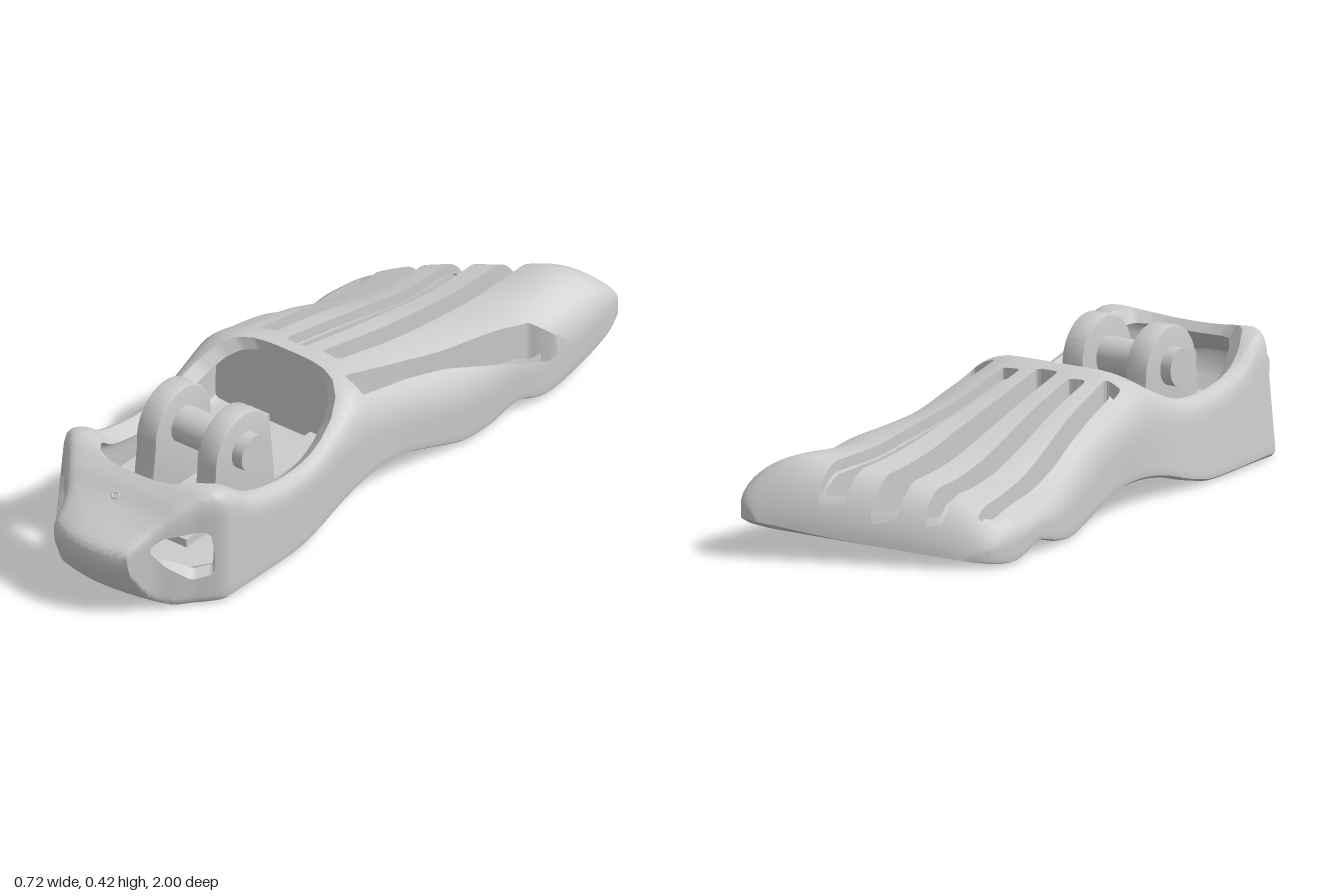
import * as THREE from 'three';
import { toCreasedNormals } from 'three/addons/utils/BufferGeometryUtils.js';

const grey = new THREE.MeshStandardMaterial({ color: 0xcccccc });
const shellGrey = new THREE.MeshStandardMaterial({ color: 0xcccccc, side: THREE.DoubleSide });
const smooth = (a, b, x) => THREE.MathUtils.smoothstep((x - a) / (b - a), 0, 1);

// Smooth curve through [s, value] points, s falling
function curve(pts) {
  const slope = (i) => {
    const a = pts[Math.max(i - 1, 0)], b = pts[Math.min(i + 1, pts.length - 1)];
    return (b[1] - a[1]) / (b[0] - a[0]);
  };
  return (s) => {
    let i = 0;
    while (i < pts.length - 2 && s < pts[i + 1][0]) i++;
    const [s0, v0] = pts[i], [s1, v1] = pts[i + 1], h = s1 - s0;
    const t = THREE.MathUtils.clamp((s - s0) / h, 0, 1), t2 = t * t, t3 = t2 * t;
    return (2 * t3 - 3 * t2 + 1) * v0 + (t3 - 2 * t2 + t) * h * slope(i) +
      (3 * t2 - 2 * t3) * v1 + (t3 - t2) * h * slope(i + 1);
  };
}

// Foot profiles along the length, heel to toe
const topY = curve([[1, 0.2], [0.995, 0.214], [0.97, 0.234], [0.9, 0.274], [0.85, 0.302], [0.8, 0.336], [0.74, 0.36],
  [0.68, 0.345], [0.6, 0.29], [0.5, 0.26], [0.4, 0.25], [0.3, 0.263], [0.2, 0.31], [0.1, 0.368], [0.06, 0.375],
  [-0.03, 0.357], [-0.2, 0.32], [-0.4, 0.28], [-0.55, 0.252], [-0.7, 0.238], [-0.89, 0.235]]);
const bottomY = curve([[1, 0.2], [0.997, 0.17], [0.985, 0.13], [0.93, 0.05], [0.87, 0.013], [0.82, 0], [0.6, 0], [0.4, 0],
  [0.3, 0.02], [0.2, 0.05], [0.1, 0.07], [0, 0.077], [-0.1, 0.065], [-0.2, 0.035], [-0.3, 0.005], [-0.34, 0],
  [-0.42, 0.01], [-0.5, 0.033], [-0.54, 0.035], [-0.6, 0.012], [-0.65, 0], [-0.75, 0.016], [-0.9, 0.062], [-1, 0.105]]);
const leftX = curve([[1, -0.148], [0.96, -0.162], [0.9, -0.183], [0.85, -0.21], [0.8, -0.25], [0.75, -0.3], [0.72, -0.322],
  [0.69, -0.325], [0.4, -0.325], [0, -0.325], [-0.2, -0.335], [-0.45, -0.35], [-0.7, -0.365], [-0.78, -0.362],
  [-0.84, -0.346], [-0.87, -0.322], [-0.89, -0.27]]);
const rightX = curve([[1, 0.128], [0.96, 0.142], [0.9, 0.163], [0.85, 0.19], [0.8, 0.225], [0.75, 0.27], [0.72, 0.288],
  [0.69, 0.291], [0.4, 0.291], [0, 0.287], [-0.2, 0.302], [-0.4, 0.335], [-0.6, 0.352], [-0.75, 0.356],
  [-0.82, 0.345], [-0.86, 0.325], [-0.89, 0.275]]);
const squareness = curve([[1, 16], [0.7, 11], [0.4, 9], [0.1, 3.6], [-0.1, 2.8], [-0.6, 2.25], [-0.89, 2.4]]);

// Point of the foot skin; (a, b) runs round a square, off moves it inwards
function skin(s, a, b, off) {
  const n = b > 0 ? squareness(s) : 18;
  const k = Math.pow(Math.abs(a) ** n + Math.abs(b) ** n, -1 / n);
  const l = leftX(s) + 1.4 * off, r = rightX(s) - 1.2 * off;
  let x = (l + r) / 2 + a * k * (r - l) / 2;
  const z = s - 0.41 * smooth(-0.1, -0.75, s) * x - 1.7 * smooth(0.82, 1, s) * x * x;
  const tilt = 1 + 0.7 * x * smooth(-0.15, -0.7, s);
  const bigToe = 0.03 * smooth(-0.5, -0.75, s) * Math.exp(-(((x - 0.23) / 0.11) ** 2));
  const heelDip = 0.014 * smooth(0.62, 0.72, s) * smooth(1, 0.85, s) * Math.max(0, 1 - (x / 0.25) ** 2);
  const base = bottomY(s < 0 ? z : s);
  const cap = (1 - Math.min(Math.max((-0.76 - s) / 0.13, 0), 1) ** 2) ** 0.65; // rounded toe end
  const top = base + (topY(s) * tilt + bigToe - heelDip - base) * cap;
  const lo = base + off, hi = Math.max(top - off, lo + 0.001 * (off > 0));
  const mid = lo + 0.33 * (hi - lo);
  const y = mid + b * k * (b > 0 ? hi - mid : mid - lo);
  if (x < 0) x += 0.1 * Math.max(y, 0) * -x / 0.32 * smooth(0, 0.3, s); // left wall leans in
  return [x, y, z];
}

// Signed distance to a polygon, grown and rounded by r
function polyDistance(poly, r, px, py) {
  let d = Infinity, inside = false;
  poly.forEach(([x1, y1], i) => {
    const [x2, y2] = poly[(i + 1) % poly.length], ex = x2 - x1, ey = y2 - y1;
    const t = THREE.MathUtils.clamp(((px - x1) * ex + (py - y1) * ey) / (ex * ex + ey * ey), 0, 1);
    d = Math.min(d, Math.hypot(px - x1 - t * ex, py - y1 - t * ey));
    if ((y1 > py) !== (y2 > py) && px < ex * (py - y1) / ey + x1) inside = !inside;
  });
  return (inside ? -d : d) - r;
}

// Openings in plan (x, z): ankle opening and four top slots
const ankle = [];
for (let i = 0; i < 40; i++) {
  const t = i / 40 * Math.PI * 2, c = Math.cos(t), q = Math.sin(t);
  const k = Math.pow(Math.abs(c) ** 3.6 + Math.abs(q) ** 3.6, -1 / 3.6);
  ankle.push([-0.007 + 0.247 * k * c, 0.417 + 0.345 * k * q]);
}
const slots = [
  [[-0.25, 0.03], [-0.215, 0.03], [-0.25, -0.3], [-0.285, -0.7], [-0.315, -0.66], [-0.292, -0.3]],
  [[-0.157, -0.01], [-0.127, -0.02], [-0.147, -0.4], [-0.163, -0.79], [-0.192, -0.77], [-0.183, -0.4]],
  [[-0.057, 0], [-0.008, 0], [-0.012, -0.4], [-0.028, -0.855], [-0.077, -0.825], [-0.067, -0.4]],
  [[0.058, -0.02], [0.097, -0.02], [0.113, -0.4], [0.117, -0.905], [0.063, -0.875], [0.067, -0.4]],
];
// Shoulder slot: right of a plan line (x, z) and within a side outline (z, y)
const shoulderPlan = [[0.182, 0.038], [0.5, 0.038], [0.5, -0.75], [0.325, -0.75], [0.3, -0.67], [0.255, -0.45], [0.208, -0.2]];
const shoulderSide = [[0.038, 0.5], [0.038, 0.325], [-0.3, 0.25], [-0.5, 0.19], [-0.6, 0.15], [-0.66, 0.124],
  [-0.735, 0.118], [-0.735, 0.13], [-0.68, 0.18], [-0.6, 0.25], [-0.5, 0.5]];
// Heel side window (z, y)
const heelWindow = [[0.885, 0.2], [0.86, 0.217], [0.775, 0.225], [0.766, 0.16], [0.768, 0.108], [0.797, 0.1], [0.845, 0.143]];

function solid([x, y, z], b) {
  let d = 0.03;
  if (b > 0) {
    d = Math.min(d, polyDistance(ankle, 0.01, x, z));
    for (const slot of slots) d = Math.min(d, polyDistance(slot, 0.01, x, z));
    d = Math.min(d, Math.max(polyDistance(shoulderPlan, 0.01, x, z), polyDistance(shoulderSide, 0.01, z, y)));
  }
  if (z > 0.7 && Math.abs(x) > 0.1) {
    const low = x < 0 ? 0.2 * (0.23 - y) : 0; // right-hand window reaches lower
    d = Math.min(d, polyDistance(heelWindow, 0.015, z, y + low));
  }
  return Math.max(d, -0.03);
}

// Hollow shell: grid of outer and inner points, clipped along the openings
function shellGeometry() {
  const around = [], rows = 190, grid = [], out = [];
  const side = (n, f) => { for (let i = 0; i < n; i++) around.push(f(-1 + 2 * i / n)); };
  side(72, (t) => [-t, 1]);
  side(18, (t) => [-1, -t]);
  side(16, (t) => [t, -1]);
  side(18, (t) => [1, t]);
  for (let j = 0; j <= rows; j++) {
    const t = -1 + 2 * j / rows, e = 0.945 * (0.35 * t + 0.65 * Math.sin(t * Math.PI / 2));
    grid.push(around.map(([a, b]) => {
      const o = skin(0.055 + e, a, b, 0);
      return { o, n: skin(0.055 + e * 0.965, a, b, 0.033), f: solid(o, b) };
    }));
  }
  const mix = (p, q, t) => p.map((v, i) => v + (q[i] - v) * t);
  const tri = (...pts) => pts.forEach((p) => out.push(...p));
  const clip = (...corners) => {
    const poly = [];
    corners.forEach((p, i) => {
      const q = corners[(i + 1) % 3];
      if (p.f > 0) poly.push(p);
      if ((p.f > 0) !== (q.f > 0)) {
        const t = p.f / (p.f - q.f), o = mix(p.o, q.o, t), n = mix(p.n, q.n, t);
        // slots run down to the sole as channels, other openings only pierce the shell
        poly.push({ o, n, wall: o[2] < 0.055 ? [o[0], bottomY(o[2]) + 0.034, o[2]] : n });
      }
    });
    for (let i = 1; i < poly.length - 1; i++) {
      tri(poly[0].o, poly[i].o, poly[i + 1].o);
      tri(poly[0].n, poly[i + 1].n, poly[i].n);
    }
    poly.forEach((p, i) => {
      const q = poly[(i + 1) % poly.length];
      if (p.wall && q.wall) {
        tri(p.o, p.wall, q.wall);
        tri(p.o, q.wall, q.o);
      }
    });
  };
  const m = around.length;
  for (let j = 0; j < rows; j++) {
    for (let i = 0; i < m; i++) {
      const p = grid[j][i], q = grid[j][(i + 1) % m], r = grid[j + 1][(i + 1) % m], w = grid[j + 1][i];
      clip(p, q, r);
      clip(p, r, w);
    }
  }
  const g = new THREE.BufferGeometry();
  g.setAttribute('position', new THREE.Float32BufferAttribute(out, 3));
  return toCreasedNormals(g, 0.6);
}

// Flat plate from outline points
const plate = (pts, depth) => new THREE.ExtrudeGeometry(
  new THREE.Shape(pts.map(([x, y]) => new THREE.Vector2(x, y))), { depth, bevelEnabled: false });

export function createModel() {
  const model = new THREE.Group();
  const add = (name, geometry, x, y, z, material = grey) => {
    const mesh = new THREE.Mesh(geometry, material);
    mesh.name = name;
    mesh.position.set(x, y, z);
    model.add(mesh);
  };
  add('footShell', shellGeometry(), 0, 0, 0, shellGrey);

  // Wall between the ankle well and the slots, and the floor of the well
  const section = [];
  for (let i = 0; i < 48; i++) {
    const t = i / 48 * Math.PI * 2;
    section.push(skin(0.05, Math.cos(t), Math.sin(t), 0.025));
  }
  add('bulkhead', plate(section, 0.012), 0, 0, 0.045);
  const floor = [[-0.285, 0.06], [0.255, 0.06], [0.255, 0.69], [0.185, 0.8], [0.12, 0.88],
    [-0.15, 0.88], [-0.21, 0.8], [-0.28, 0.69]];
  add('innerFloor', plate(floor, 0.025).rotateX(Math.PI / 2), 0, 0.105, 0);

  // Ankle hinge: two lugs on floor rails, joined by an axle
  const lug = new THREE.Shape();
  lug.moveTo(-0.14, 0.09);
  lug.lineTo(-0.119, 0.27);
  lug.absarc(0, 0.29, 0.119, Math.PI, 0, true);
  lug.lineTo(0.14, 0.09);
  const lugGeometry = toCreasedNormals(new THREE.ExtrudeGeometry(lug, {
    depth: 0.058, bevelThickness: 0.006, bevelSize: 0.006, bevelSegments: 2, curveSegments: 40,
  }).rotateY(Math.PI / 2), 0.6);
  for (const [side, x] of [['right', -0.12], ['left', 0.095]]) {
    add(side + 'HingeLug', lugGeometry, x - 0.029, 0, 0.445);
    add(side + 'FloorRail', new THREE.BoxGeometry(0.07, 0.03, 0.65), x, 0.115, 0.38);
  }
  add('hingeAxle', new THREE.CylinderGeometry(0.055, 0.055, 0.355, 40).rotateZ(Math.PI / 2), -0.012, 0.3, 0.445);

  // Small pin hole collar on the heel
  add('heelPinHole', new THREE.TorusGeometry(0.01, 0.003, 8, 24).rotateX(-1.03), -0.012, 0.294, 0.845);
  return model;
}
